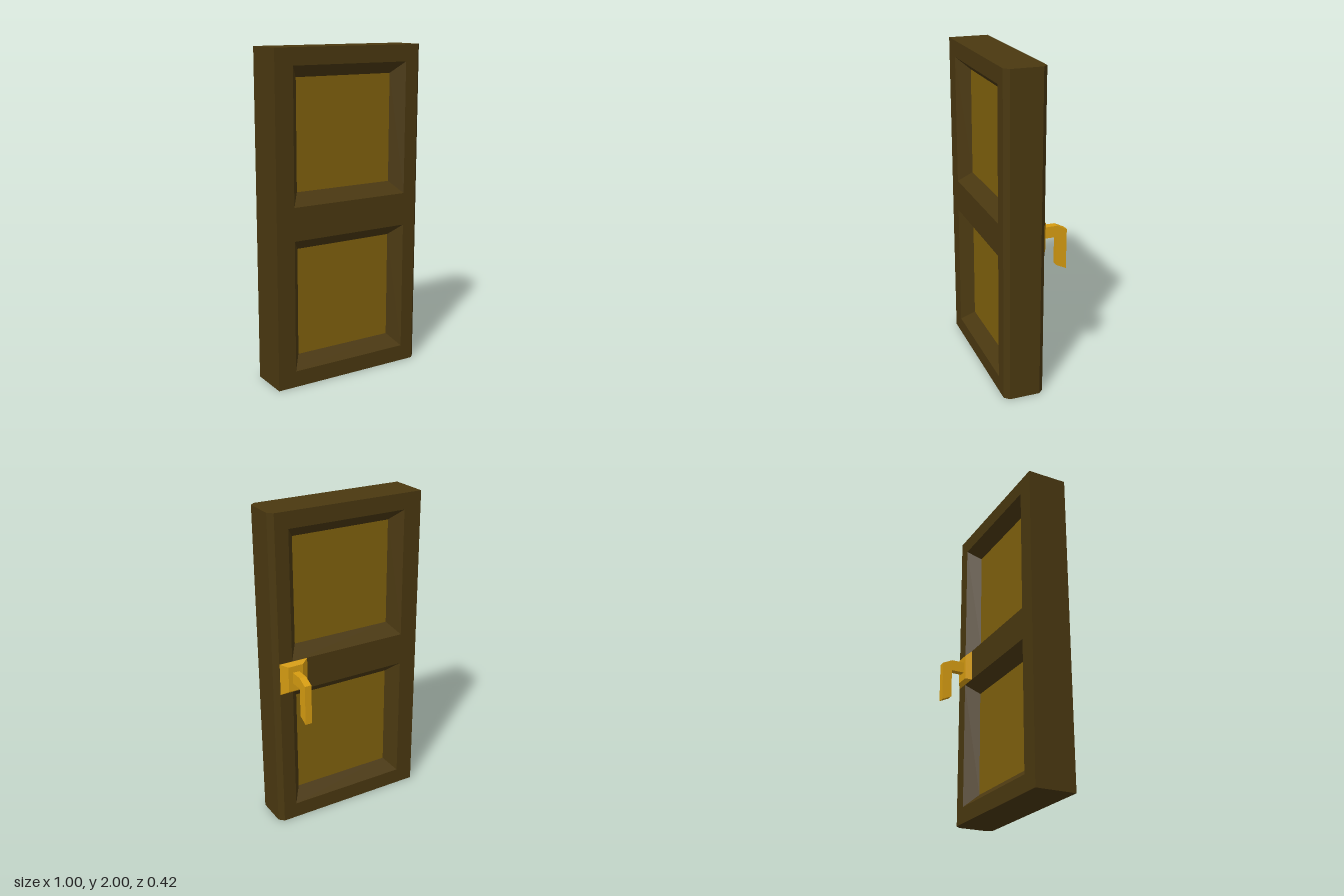
import * as THREE from 'three';
import { mergeGeometries } from 'three/addons/utils/BufferGeometryUtils.js';

const W = 0.5, H = 2, D = 0.125, CHAMFER = 0.03; // half width, height, half depth
const RECESS = 0.08;
const PANEL_Y = [0.5, 1.5];

const material = (color) => new THREE.MeshStandardMaterial({ color, flatShading: true });

// Flat quads joining two outlines with the same number of points
function loft(a, b, closed = true) {
  const pos = [];
  const n = a.length;
  for (let i = 0; i < (closed ? n : n - 1); i++) {
    const j = (i + 1) % n;
    pos.push(...a[i], ...a[j], ...b[j], ...a[i], ...b[j], ...b[i]);
  }
  const g = new THREE.BufferGeometry();
  g.setAttribute('position', new THREE.Float32BufferAttribute(pos, 3));
  g.computeVertexNormals();
  return g;
}

// Counter-clockwise rectangle around (0, cy) at depth z
const rect = (hw, hh, cy, z) =>
  [[-hw, cy - hh, z], [hw, cy - hh, z], [hw, cy + hh, z], [-hw, cy + hh, z]];

const shapeOf = (pts) => new THREE.Shape(pts.map(([x, y]) => new THREE.Vector2(x, y)));

function shapeGeometry(shape) {
  const g = new THREE.ShapeGeometry(shape).toNonIndexed();
  g.deleteAttribute('uv');
  return g;
}

function merged(parts, color, name) {
  const mesh = new THREE.Mesh(mergeGeometries(parts), material(color));
  mesh.name = name;
  return mesh;
}

function doorFrame() {
  const parts = [];
  // Front and back faces with openings and bevelled recesses
  for (const side of [1, -1]) {
    const x0 = side > 0 ? -W : -W + CHAMFER;
    const x1 = side > 0 ? W - CHAMFER : W;
    const face = shapeOf([[x0, 0], [x1, 0], [x1, H], [x0, H]]);
    const pieces = [];
    for (const y of PANEL_Y) {
      const outer = rect(0.385, 0.4, y, D);
      face.holes.push(new THREE.Path(outer.map(([x, v]) => new THREE.Vector2(x, v)).reverse()));
      pieces.push(loft(outer, rect(0.323, 0.33, y, D - RECESS)));
    }
    pieces.push(shapeGeometry(face).translate(0, 0, D));
    for (const p of pieces) parts.push(side > 0 ? p : p.rotateY(Math.PI));
  }
  // Hinge edge and chamfered latch edge
  const hinge = [[-W, -D], [-W, D]];
  const latch = [[W - CHAMFER, D], [W, D - CHAMFER], [W, CHAMFER - D], [W - CHAMFER, -D]];
  for (const edge of [hinge, latch]) {
    parts.push(loft(edge.map(([x, z]) => [x, 0, z]), edge.map(([x, z]) => [x, H, z]), false));
  }
  // Top and bottom ends
  const plan = shapeOf([...hinge, ...latch]);
  parts.push(shapeGeometry(plan).rotateX(-Math.PI / 2).translate(0, H, 0));
  parts.push(shapeGeometry(plan).rotateX(Math.PI / 2));
  return merged(parts, 0x4a3810, 'doorFrame');
}

function handle() {
  const group = new THREE.Group();
  group.name = 'handle';
  const color = 0xd69c11;

  // Bevelled back plate
  const base = rect(0.093, 0.1, 1, 0);
  const top = rect(0.048, 0.08, 1, 0.027);
  const plate = merged(
    [loft(base, top), shapeGeometry(shapeOf(top)).translate(0, 0, 0.027)], color, 'handlePlate');
  plate.rotation.y = Math.PI;
  plate.position.set(0.376, 0, -0.038);

  // Bent lever: profile runs backward and then down
  const profile = shapeOf([
    [0.06, 0.97], [0.148, 0.97], [0.148, 0.79], [0.21, 0.76],
    [0.21, 1.01], [0.148, 1.04], [0.06, 1.04],
  ]);
  const lever = new THREE.Mesh(
    new THREE.ExtrudeGeometry(profile, { depth: 0.043, bevelEnabled: false }), material(color));
  lever.name = 'handleLever';
  lever.rotation.y = Math.PI / 2;
  lever.position.x = 0.353;

  group.add(plate, lever);
  return group;
}

export function createModel() {
  const model = new THREE.Group();
  model.name = 'door';

  const leaf = new THREE.Group();
  leaf.name = 'doorLeaf';
  leaf.position.z = 0.086;
  leaf.add(doorFrame());

  // Recessed panels, seen from both sides
  PANEL_Y.forEach((y, i) => {
    const panel = new THREE.Mesh(
      new THREE.BoxGeometry(0.646, 0.66, 2 * (D - RECESS)), material(0x80610d));
    panel.name = i ? 'upperPanel' : 'lowerPanel';
    panel.position.y = y;
    leaf.add(panel);
  });

  model.add(leaf, handle());
  return model;
}
